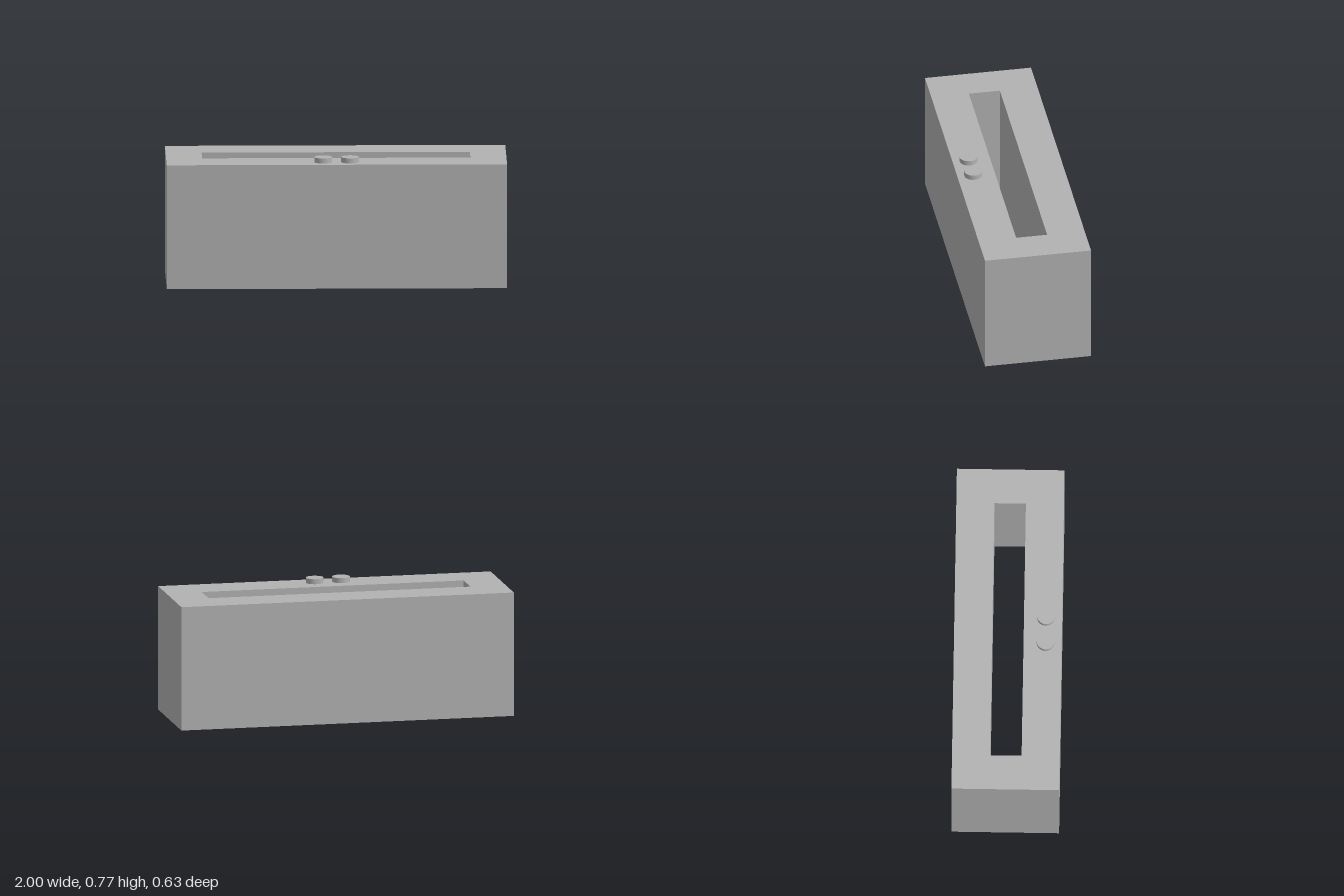
import * as THREE from 'three';

const WIDTH = 2, DEPTH = 0.633, HEIGHT = 0.74;
const SLOT_WIDTH = 1.576, SLOT_DEPTH = 0.185;
const BUTTON_RADIUS = 0.0525, BUTTON_HEIGHT = 0.03;

// Corner points of a rectangle centred on the origin
function rectangle(w, d) {
  return [[-1, -1], [1, -1], [1, 1], [-1, 1]].map(
    ([x, y]) => new THREE.Vector2(x * w / 2, y * d / 2));
}

export function createModel() {
  const model = new THREE.Group();
  model.name = 'slottedBox';

  const grey = new THREE.MeshStandardMaterial({ color: 0xb2b2b2 });
  grey.name = 'grey';

  // Block with a slot running right through from top to bottom
  const outline = new THREE.Shape(rectangle(WIDTH, DEPTH));
  outline.holes.push(new THREE.Path(rectangle(SLOT_WIDTH, SLOT_DEPTH)));
  const bodyGeometry = new THREE.ExtrudeGeometry(outline, { depth: HEIGHT, bevelEnabled: false });
  bodyGeometry.rotateX(-Math.PI / 2);
  const body = new THREE.Mesh(bodyGeometry, grey);
  body.name = 'body';
  model.add(body);

  // Pair of round buttons on the top, near the front edge
  const buttonGeometry = new THREE.CylinderGeometry(BUTTON_RADIUS, BUTTON_RADIUS, BUTTON_HEIGHT, 48);
  for (const [name, side] of [['leftButton', 1], ['rightButton', -1]]) {
    const button = new THREE.Mesh(buttonGeometry, grey);
    button.name = name;
    button.position.set(side * 0.079, HEIGHT + BUTTON_HEIGHT / 2, 0.222);
    model.add(button);
  }

  return model;
}
